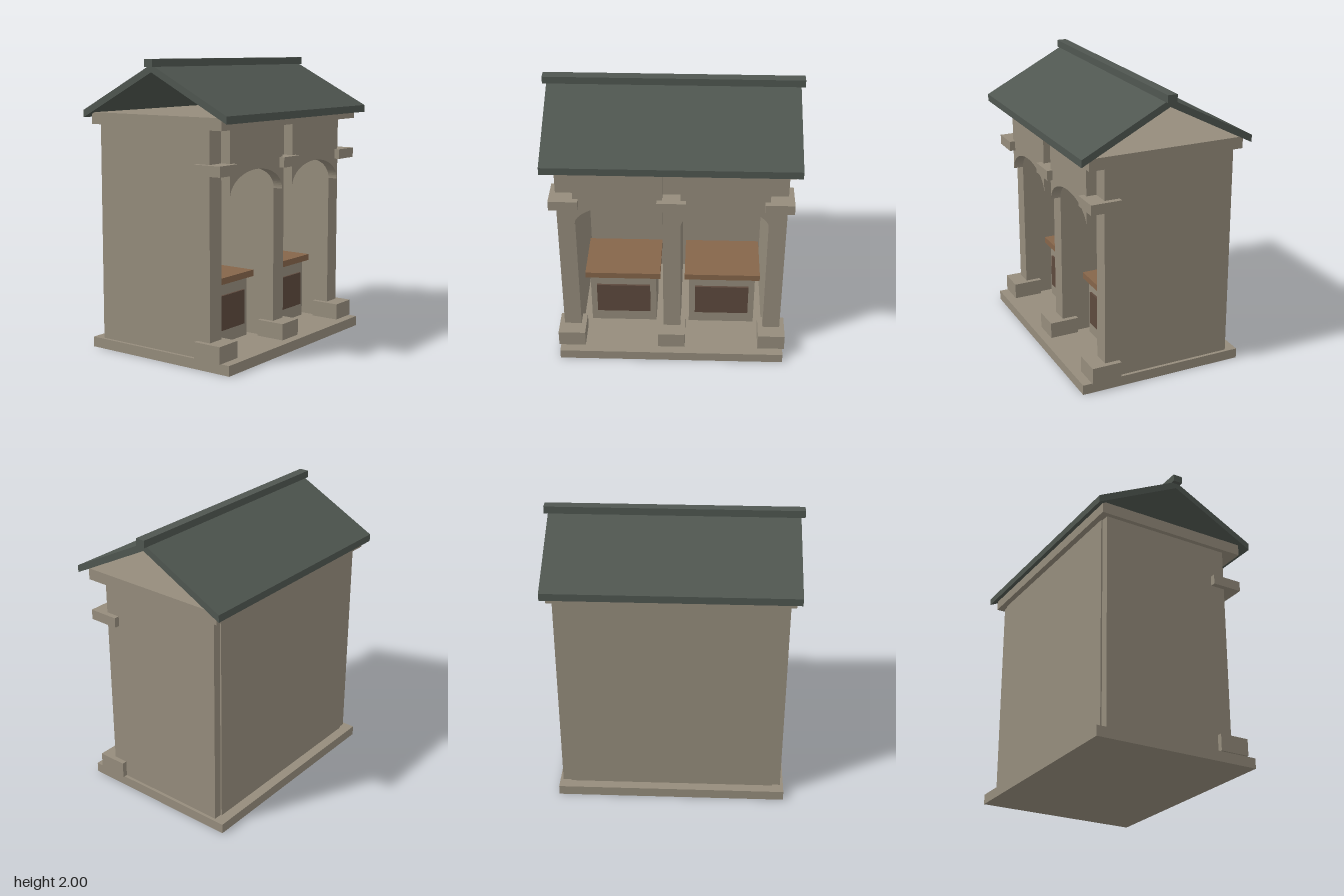
import * as THREE from 'three';

const material = (name, color) => {
  const m = new THREE.MeshStandardMaterial({ color });
  m.name = name;
  return m;
};

export function createModel() {
  const model = new THREE.Group();
  model.name = 'marketStall';
  const stone = material('stone', 0x958c7c);
  const slate = material('slate', 0x4f5650);
  const wood = material('wood', 0x85654a);
  const darkPanel = material('darkPanel', 0x5d493d);

  const add = (name, geometry, mat) => {
    const mesh = new THREE.Mesh(geometry, mat);
    mesh.name = name;
    model.add(mesh);
    return mesh;
  };

  // Box given by its limits on each axis
  const box = (name, mat, [x0, x1], [y0, y1], [z0, z1]) => {
    const mesh = add(name, new THREE.BoxGeometry(x1 - x0, y1 - y0, z1 - z0), mat);
    mesh.position.set((x0 + x1) / 2, (y0 + y1) / 2, (z0 + z1) / 2);
    return mesh;
  };
  const around = (c, half) => [c - half, c + half];

  // Floor, back wall and ceiling slab
  box('base', stone, [-0.8, 0.8], [0, 0.07], [-0.59, 0.59]);
  box('backWall', stone, [-0.72, 0.72], [0.07, 1.56], [-0.52, -0.43]);
  box('ceilingSlab', stone, [-0.81, 0.81], [1.56, 1.64], [-0.56, 0.54]);

  // Side and dividing walls with plinths and capitals at the front
  for (const x of [-0.717, 0, 0.717]) {
    box('wall', stone, around(x, 0.061), [0.07, 1.56], [-0.51, 0.42]);
    box('plinth', stone, around(x, 0.096), [0.07, 0.185], [0.315, 0.525]);
    box('capital', stone, around(x, 0.098), [1.27, 1.34], [0.315, 0.53]);
  }

  // One arch and one counter in each bay
  for (const x of [-0.358, 0.358]) {
    const half = 0.297;
    const arch = new THREE.Shape();
    arch.moveTo(half, 1.12);
    arch.lineTo(half, 1.56);
    arch.lineTo(-half, 1.56);
    arch.lineTo(-half, 1.12);
    arch.absellipse(0, 1.12, half, 0.163, Math.PI, 0, true);
    const archGeometry = new THREE.ExtrudeGeometry(arch, {
      depth: 0.07, bevelEnabled: false, curveSegments: 20,
    });
    add('arch', archGeometry, stone).position.set(x, 0, 0.42);

    box('counterBody', stone, around(x, 0.238), [0.07, 0.49], [-0.1, 0.235]);
    box('counterTop', wood, around(x, 0.27), [0.49, 0.535], [-0.14, 0.27]);
    box('counterPanel', darkPanel, around(x, 0.194), [0.163, 0.405], [0.23, 0.25]);
  }

  // Open gable roof, drawn in section and extruded along x
  const section = new THREE.Shape([
    [-0.605, 1.605], [0, 1.915], [0.605, 1.605],
    [0.605, 1.655], [0, 1.965], [-0.605, 1.655],
  ].map(([z, y]) => new THREE.Vector2(z, y)));
  const roof = new THREE.ExtrudeGeometry(section, { depth: 1.69, bevelEnabled: false });
  roof.translate(0, 0, -0.845);
  roof.rotateY(Math.PI / 2);
  add('roof', roof, slate);
  box('ridge', slate, [-0.872, 0.872], [1.95, 2], [-0.034, 0.034]);

  return model;
}
